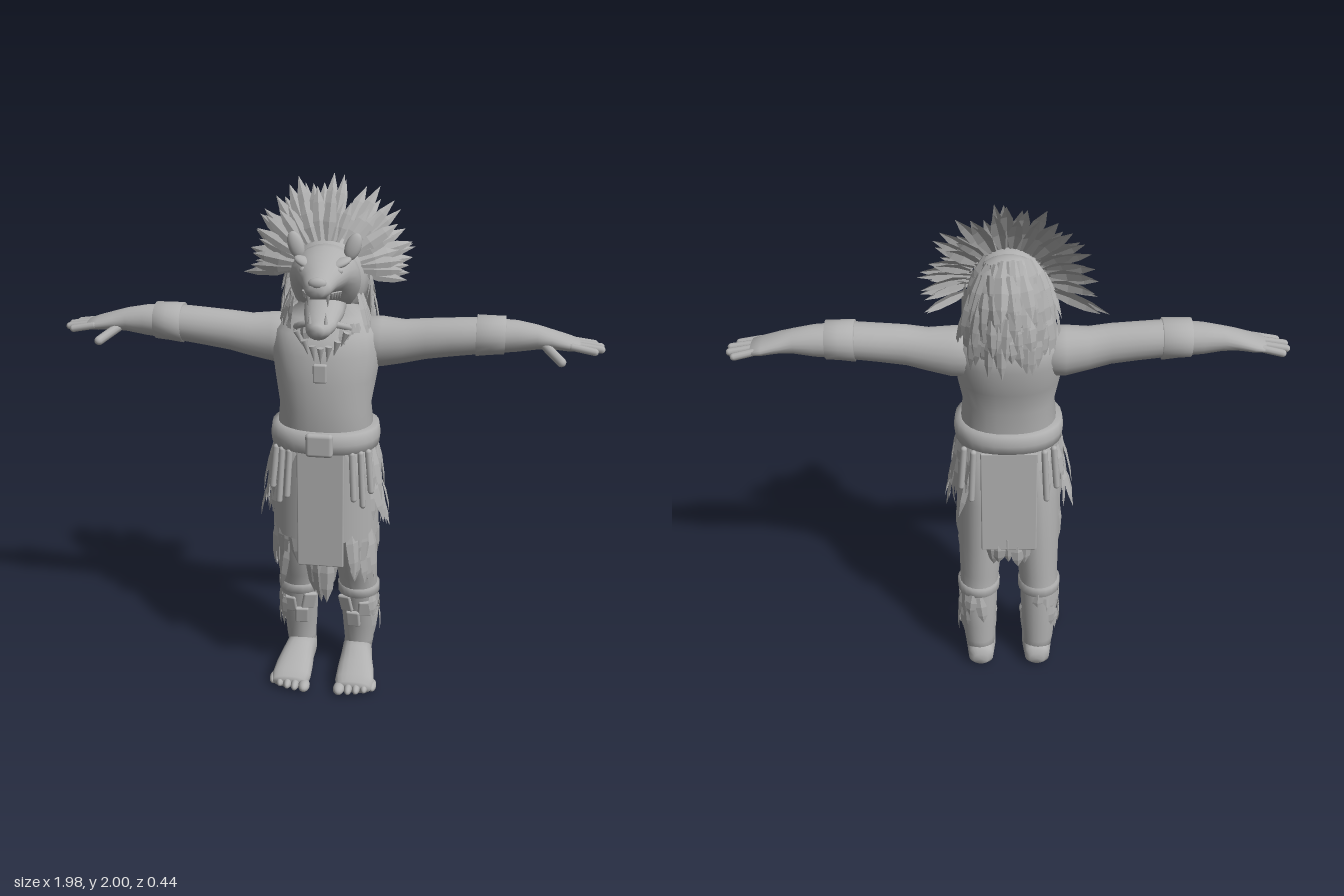
import * as THREE from 'three';
import { mergeGeometries } from 'three/addons/utils/BufferGeometryUtils.js';
import { RoundedBoxGeometry } from 'three/addons/geometries/RoundedBoxGeometry.js';

const grey = new THREE.MeshStandardMaterial({ color: 0xb0b0b0, side: THREE.DoubleSide });
grey.name = 'clay grey';
const V = (x, y, z) => new THREE.Vector3(x, y, z);

let seed = 7;
const rand = () => (seed = (seed * 16807) % 2147483647) / 2147483647;
const vary = (amount) => 1 + (rand() - 0.5) * 2 * amount;

function add(group, name, geometry, position, rotation = [0, 0, 0]) {
  const mesh = new THREE.Mesh(geometry, grey);
  mesh.name = name;
  if (position) mesh.position.set(...position);
  mesh.rotation.set(...rotation);
  group.add(mesh);
  return mesh;
}

// Closed skin over ellipses along an axis; each ring is [along, centreU, centreV, radiusU, radiusV].
// (u, v) is (y, z) for x, (z, x) for y and (x, y) for z.
function loft(axis, rings, sides = 20, power = 1) {
  const k = 'xyz'.indexOf(axis), pos = [], index = [];
  const put = (a, u, v) => {
    const p = [0, 0, 0];
    p[k] = a; p[(k + 1) % 3] = u; p[(k + 2) % 3] = v;
    pos.push(...p);
  };
  const bulge = (c) => Math.sign(c) * Math.abs(c) ** power;
  for (const [a, cu, cv, ru, rv] of rings)
    for (let j = 0; j < sides; j++) {
      const t = (j / sides) * Math.PI * 2;
      put(a, cu + ru * bulge(Math.cos(t)), cv + rv * bulge(Math.sin(t)));
    }
  const last = rings.length - 1, base = rings.length * sides;
  put(...rings[0].slice(0, 3));
  put(...rings[last].slice(0, 3));
  for (let j = 0; j < sides; j++) {
    const n = (j + 1) % sides;
    for (let i = 0; i < last; i++) {
      const a = i * sides + j, b = i * sides + n;
      index.push(a, b, a + sides, b, b + sides, a + sides);
    }
    index.push(base, n, j, base + 1, last * sides + j, last * sides + n);
  }
  const g = new THREE.BufferGeometry();
  g.setAttribute('position', new THREE.Float32BufferAttribute(pos, 3));
  g.setIndex(index);
  g.computeVertexNormals();
  return g;
}

// Pointed blade with a raised spine, curling away from its outward side
function feather(base, dir, out, length, width, curl = 0) {
  const d = dir.clone().normalize();
  const side = d.clone().cross(out).normalize(), n = side.clone().cross(d);
  const rows = [[0, 0.45], [0.35, 1], [0.7, 0.8], [1, 0.03]].map(([t, w]) => {
    const c = base.clone().addScaledVector(d, t * length).addScaledVector(n, -curl * length * t * t);
    const e = (s) => c.clone().addScaledVector(side, (s * w * width) / 2);
    return [e(-1), c.clone().addScaledVector(n, 0.18 * width * w), e(1)];
  });
  const tri = [];
  for (let i = 0; i < 3; i++)
    for (let j = 0; j < 2; j++) {
      const a = rows[i][j], b = rows[i][j + 1], c = rows[i + 1][j], e = rows[i + 1][j + 1];
      tri.push(a, b, c, b, e, c);
    }
  const g = new THREE.BufferGeometry().setFromPoints(tri);
  g.computeVertexNormals();
  return g;
}

// Row of hanging feathers round an ellipse; angles run from the front (+z) towards +x
function featherRow(a0, a1, count, [x, y, z], rx, rz, length, width, flare) {
  const list = [];
  for (let i = 0; i < count; i++) {
    const a = a0 + ((a1 - a0) * (i + 0.5)) / count + (rand() - 0.5) * 0.08;
    const out = V(Math.sin(a), 0, Math.cos(a));
    const dir = out.clone().multiplyScalar(flare * vary(0.5)).add(V((rand() - 0.5) * 0.25, -1, (rand() - 0.5) * 0.2));
    list.push(feather(V(x + rx * out.x, y + (rand() - 0.5) * 0.03, z + rz * out.z), dir, out, length * vary(0.2), width * vary(0.2), 0.08));
  }
  return mergeGeometries(list);
}

// Rounded stick between two points
function stick(a, b, radius) {
  const d = b.clone().sub(a);
  const g = new THREE.CapsuleGeometry(radius, d.length(), 4, 10);
  g.applyQuaternion(new THREE.Quaternion().setFromUnitVectors(V(0, 1, 0), d.clone().normalize()));
  const m = a.clone().add(b).multiplyScalar(0.5);
  return g.translate(m.x, m.y, m.z);
}
const ball = (x, y, z) => new THREE.SphereGeometry(1, 16, 12).scale(x, y, z);

function buildArm(g) {
  add(g, 'arm', loft('x', [
    [0.1, 1.42, -0.045, 0.09, 0.09], [0.2, 1.42, -0.045, 0.092, 0.085], [0.28, 1.425, -0.04, 0.08, 0.072],
    [0.36, 1.44, -0.035, 0.074, 0.068], [0.45, 1.45, -0.035, 0.07, 0.068], [0.55, 1.46, -0.035, 0.066, 0.07],
    [0.68, 1.463, -0.04, 0.056, 0.06], [0.75, 1.462, -0.04, 0.044, 0.05], [0.8, 1.457, -0.04, 0.034, 0.056],
    [0.86, 1.446, -0.042, 0.026, 0.06], [0.9, 1.44, -0.042, 0.017, 0.056]]));
  add(g, 'armCuff', loft('x', [[0.535, 1.46, -0.037, 0.06, 0.06], [0.537, 1.46, -0.037, 0.074, 0.078],
    [0.59, 1.463, -0.037, 0.07, 0.075], [0.638, 1.465, -0.038, 0.068, 0.074], [0.64, 1.465, -0.038, 0.05, 0.05]]));
  [[-0.09, 0.955], [-0.058, 0.975], [-0.024, 0.975], [0.006, 0.95]].forEach(([z, x], i) =>
    add(g, 'finger' + (i + 1), stick(V(0.87, 1.445, z * 0.9), V(x, 1.43, z * 1.05), 0.0135)));
  add(g, 'thumb', stick(V(0.78, 1.44, -0.005), V(0.835, 1.405, 0.06), 0.017));
}

function buildLeg(g) {
  add(g, 'leg', loft('y', [
    [0.05, -0.12, 0.115, 0.055, 0.055], [0.12, -0.12, 0.12, 0.057, 0.06], [0.2, -0.112, 0.12, 0.062, 0.066],
    [0.3, -0.1, 0.122, 0.075, 0.074], [0.38, -0.088, 0.12, 0.076, 0.075], [0.45, -0.075, 0.115, 0.085, 0.078],
    [0.6, -0.045, 0.108, 0.115, 0.088], [0.8, -0.02, 0.1, 0.13, 0.093], [1.04, 0, 0.09, 0.13, 0.09]]));
  add(g, 'kneeBand', loft('y', [[0.36, -0.088, 0.12, 0.07, 0.07], [0.362, -0.088, 0.12, 0.085, 0.083],
    [0.398, -0.085, 0.12, 0.087, 0.084], [0.402, -0.085, 0.12, 0.07, 0.07]]));
  for (const [x, y, tilt] of [[0.075, 0.32, 0.2], [0.15, 0.3, -0.1], [0.105, 0.25, 0.05]])
    add(g, 'shinPlate', new RoundedBoxGeometry(0.055, 0.075, 0.02, 2, 0.008), [x, y, -0.035], [0.2, (x - 0.12) * 8, tilt]);
  add(g, 'calfFeathers', mergeGeometries([
    featherRow(0.6, 3.4, 7, [0.12, 0.36, -0.09], 0.078, 0.08, 0.12, 0.04, 0.06),
    featherRow(0.8, 2.6, 5, [0.12, 0.29, -0.1], 0.078, 0.076, 0.12, 0.035, 0.03)]));
  add(g, 'foot', loft('z', [
    [-0.19, 0.115, 0.04, 0.03, 0.026], [-0.175, 0.115, 0.048, 0.05, 0.046], [-0.11, 0.115, 0.064, 0.06, 0.062],
    [-0.04, 0.12, 0.062, 0.064, 0.06], [0.03, 0.125, 0.048, 0.074, 0.046], [0.09, 0.128, 0.036, 0.078, 0.034],
    [0.125, 0.128, 0.03, 0.07, 0.026]], 20, 0.85));
  for (let i = 0; i < 5; i++)
    add(g, 'toe' + (i + 1), ball(i ? 0.016 : 0.023, i ? 0.019 : 0.022, 0.035), [0.07 + i * 0.031 + (i ? 0.006 : 0), 0.023, 0.13 - i * i * 0.0025]);
}

function buildSkirtSide(g) {
  // Hide panel over the hip, then three tiers of feathers and hanging straps
  add(g, 'hipPanel', new THREE.CylinderGeometry(1, 1.04, 0.38, 20, 1, true, 0.42, 1.75).scale(0.195, 1, 0.145), [0, 0.87, 0]);
  add(g, 'skirtFeathers', mergeGeometries([
    featherRow(0.9, 2.5, 10, [0, 1.04, 0], 0.19, 0.14, 0.2, 0.05, 0.22),
    featherRow(0.95, 2.45, 9, [0, 0.95, 0], 0.2, 0.145, 0.19, 0.05, 0.2),
    featherRow(0.5, 2.2, 9, [0, 0.74, 0], 0.195, 0.135, 0.2, 0.055, 0.04),
    featherRow(0.7, 2.1, 8, [0, 0.66, 0], 0.185, 0.125, 0.19, 0.05, 0.06),
    featherRow(1, 1.9, 5, [0, 0.88, 0], 0.21, 0.13, 0.16, 0.045, 0.2)]));
  for (const [x, z, len] of [[0.115, 0.135, 0.17], [0.145, 0.12, 0.2], [0.17, 0.1, 0.15], [0.13, -0.135, 0.2], [0.165, -0.11, 0.16]])
    add(g, 'beltStrap', stick(V(x, 1.04, z), V(x * 1.08, 1.04 - len, z * 1.1), 0.012));
}

function buildHead(g) {
  add(g, 'upperHead', loft('z', [
    [-0.14, 0, 1.64, 0.05, 0.07], [-0.08, 0, 1.64, 0.11, 0.12], [0, 0, 1.655, 0.125, 0.125],
    [0.045, 0, 1.68, 0.12, 0.1], [0.09, 0, 1.692, 0.095, 0.068], [0.15, 0, 1.68, 0.062, 0.046],
    [0.195, 0, 1.668, 0.046, 0.036], [0.212, 0, 1.664, 0.028, 0.022]], 24));
  add(g, 'lowerJaw', loft('z', [
    [-0.02, 0, 1.57, 0.08, 0.07], [0.06, 0, 1.545, 0.07, 0.05], [0.13, 0, 1.52, 0.055, 0.035],
    [0.19, 0, 1.52, 0.042, 0.034], [0.215, 0, 1.525, 0.026, 0.022]]));
  add(g, 'nose', ball(0.032, 0.02, 0.018), [0, 1.688, 0.198]);
  for (const s of [1, -1]) {
    add(g, 'ear', ball(0.028, 0.05, 0.018), [s * 0.1, 1.78, 0.04], [-0.1, 0, -s * 0.35]);
    add(g, 'brow', ball(0.045, 0.014, 0.025), [s * 0.06, 1.733, 0.09], [0.2, s * 0.5, s * 0.25]);
    add(g, 'eye', ball(0.016, 0.012, 0.012), [s * 0.06, 1.712, 0.115]);
    add(g, 'upperFang', new THREE.ConeGeometry(0.009, 0.045, 8), [s * 0.034, 1.625, 0.185], [Math.PI, 0, 0]);
    add(g, 'lowerFang', new THREE.ConeGeometry(0.008, 0.04, 8), [s * 0.028, 1.565, 0.19]);
    for (let i = 0; i < 4; i++)
      add(g, 'tooth', new THREE.ConeGeometry(0.007, 0.025, 6), [s * (0.046 + i * 0.006), 1.634 - i * 0.003, 0.16 - i * 0.02], [Math.PI, 0, 0]);
  }
}

function buildHeaddress(g) {
  add(g, 'headdressCap', ball(0.145, 0.15, 0.11), [0, 1.645, -0.07]);
  // Fan of upright feathers around the head
  const fan = [];
  for (const [count, radius, z, length, lean, spread] of [[19, 0.1, 0.005, 0.17, -0.3, 1.75], [21, 0.11, -0.02, 0.2, -0.42, 1.85], [16, 0.12, -0.045, 0.17, -0.6, 1.9]])
    for (let i = 0; i < count; i++) {
      const a = ((i + 0.5) / count * 2 - 1) * spread + (rand() - 0.5) * 0.12;
      const dir = V(Math.sin(a), Math.cos(a), lean * vary(0.3));
      fan.push(feather(V(radius * 1.2 * Math.sin(a), 1.69 + radius * Math.cos(a), z - 0.035 * Math.abs(Math.sin(a))),
        dir, V(0, 0.2, 1), length * vary(0.18), 0.045 * vary(0.2), 0.1));
    }
  add(g, 'crestFeathers', mergeGeometries(fan));
  // Overlapping tiers down the back of the head
  const tiers = [[1.79, 0.08, 0.05, 0.5], [1.75, 0.12, 0.085, 0.35], [1.69, 0.145, 0.11, 0.2], [1.62, 0.155, 0.12, 0.14], [1.56, 0.155, 0.12, 0.1]];
  add(g, 'backFeathers', mergeGeometries(tiers.map(([y, rx, rz, flare]) =>
    featherRow(1.5, Math.PI * 2 - 1.5, 17, [0, y, -0.07], rx, rz, 0.15, 0.045, flare))));
  for (const s of [1, -1])
    add(g, 'sideFeathers', featherRow(s * 1.05, s * 1.75, 6, [0, 1.6, -0.02], 0.13, 0.09, 0.15, 0.04, 0.25));
}

export function createModel() {
  const model = new THREE.Group();
  model.name = 'featheredWarrior';
  const part = (name, build) => {
    const g = new THREE.Group();
    g.name = name;
    build(g);
    model.add(g);
    return g;
  };

  // Body, belt and buckle
  add(model, 'torso', loft('y', [
    [0.96, 0, 0, 0.12, 0.165], [1.1, 0, 0, 0.14, 0.178], [1.2, 0.01, 0, 0.138, 0.168], [1.3, -0.008, 0, 0.152, 0.185],
    [1.4, -0.022, 0, 0.155, 0.2], [1.47, -0.035, 0, 0.138, 0.19], [1.52, -0.04, 0, 0.095, 0.145],
    [1.57, -0.035, 0, 0.07, 0.09], [1.65, -0.02, 0, 0.065, 0.075]], 28, 0.9));
  add(model, 'belt', loft('y', [[1.04, 0.005, 0, 0.14, 0.18], [1.045, 0.005, 0, 0.16, 0.2], [1.08, 0.005, 0, 0.165, 0.204],
    [1.12, 0.005, 0, 0.158, 0.198], [1.125, 0.005, 0, 0.13, 0.17]], 28, 0.9));
  add(model, 'buckle', new RoundedBoxGeometry(0.1, 0.09, 0.03, 3, 0.014), [0, 1.085, 0.17]);

  // Loincloth panels with feathers below
  add(model, 'frontPanel', new RoundedBoxGeometry(0.175, 0.47, 0.014, 2, 0.005), [0, 0.815, 0.142]);
  add(model, 'backPanel', new RoundedBoxGeometry(0.21, 0.43, 0.014, 2, 0.005), [0, 0.83, -0.158], [0.07, 0, 0]);
  add(model, 'frontFeathers', featherRow(-0.4, 0.4, 5, [0, 0.6, 0.02], 0.12, 0.09, 0.2, 0.055, -0.1));
  add(model, 'backHemFeathers', featherRow(2.7, 3.58, 5, [0, 0.65, -0.06], 0.19, 0.115, 0.12, 0.05, 0.02));

  // Necklace and collar feathers
  add(model, 'necklace', new THREE.TorusGeometry(0.105, 0.012, 8, 28), [0, 1.475, 0.03], [1.05, 0, 0]);
  for (let i = -3; i <= 3; i++)
    add(model, 'bead', new THREE.ConeGeometry(0.013, 0.06, 8), [i * 0.026, 1.41 + i * i * 0.006, 0.135 - i * i * 0.003], [Math.PI, 0, i * 0.12]);
  add(model, 'pendant', new RoundedBoxGeometry(0.05, 0.07, 0.02, 2, 0.007), [0, 1.35, 0.147]);
  add(model, 'collarFeathers', mergeGeometries([1, -1].map((s) =>
    featherRow(s * 0.4, s * 1.5, 7, [0, 1.5, -0.02], 0.15, 0.125, 0.1, 0.035, 0.18))));

  part('head', buildHead);
  part('headdress', buildHeaddress);
  for (const [name, build] of [['Arm', buildArm], ['Leg', buildLeg], ['SkirtSide', buildSkirtSide]]) {
    part('left' + name, build);
    part('right' + name, build).scale.x = -1;
  }
  return model;
}
